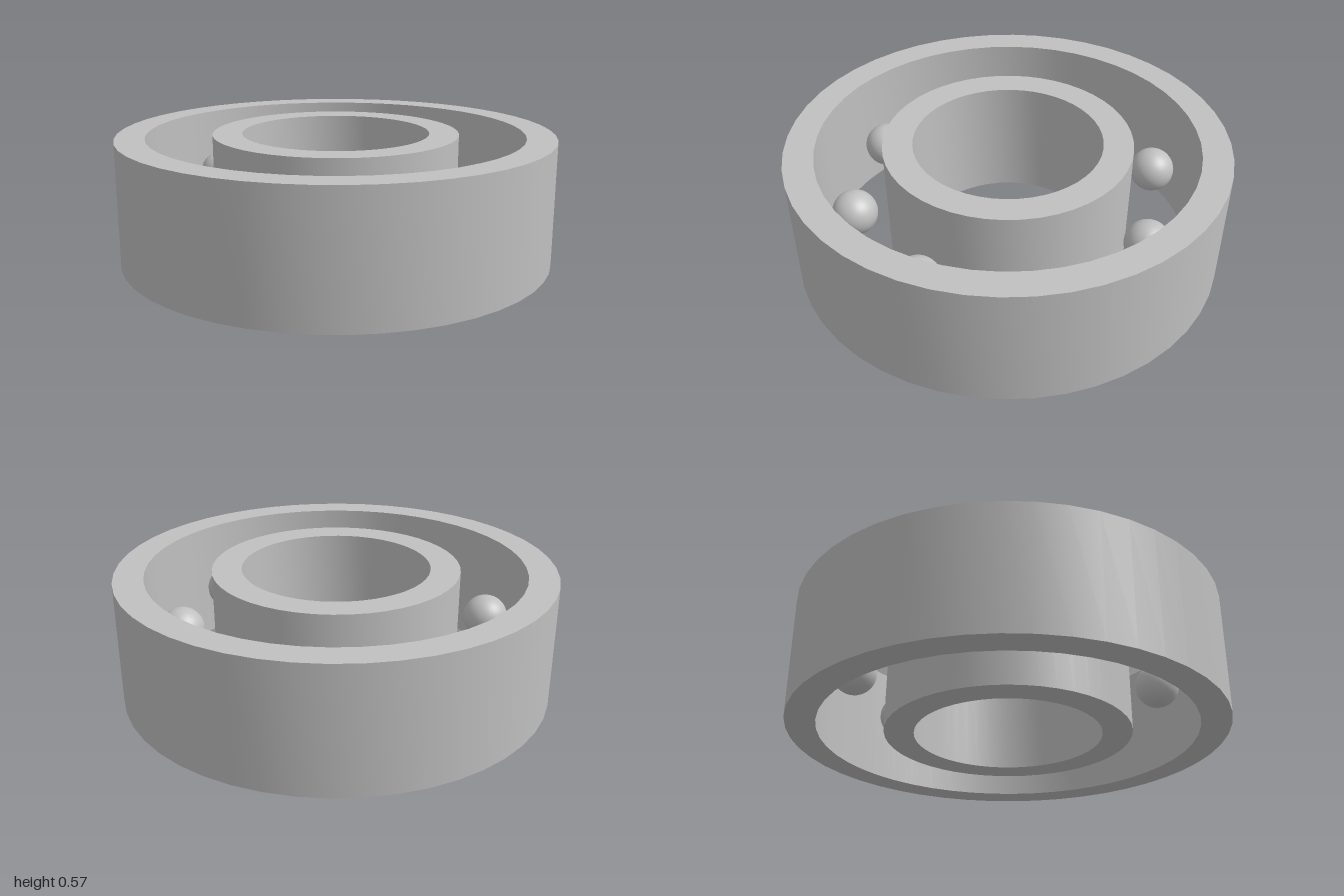
import * as THREE from 'three';
import { toCreasedNormals } from 'three/addons/utils/BufferGeometryUtils.js';

const HEIGHT = 0.57;
const BALL_COUNT = 8;
const BALL_ORBIT = 0.715;
const BALL_RADIUS = 0.104;

// Ring with a rectangular section, smooth walls and sharp rims
function makeRing(name, inner, outer, material) {
  const profile = [
    [outer, 0], [outer, HEIGHT], [inner, HEIGHT], [inner, 0], [outer, 0],
  ].map(([r, y]) => new THREE.Vector2(r, y));
  const geometry = toCreasedNormals(new THREE.LatheGeometry(profile, 48), 0.6);
  const ring = new THREE.Mesh(geometry, material);
  ring.name = name;
  return ring;
}

export function createModel() {
  const model = new THREE.Group();
  model.name = 'ballBearing';
  const steel = new THREE.MeshStandardMaterial({ color: 0xc0c0c0 });
  steel.name = 'steel grey';

  // Outer and inner races
  model.add(makeRing('outerRace', 0.865, 1, steel));
  model.add(makeRing('innerRace', 0.43, 0.565, steel));

  // Balls evenly spaced at mid height between the races
  const balls = new THREE.Group();
  balls.name = 'balls';
  const ballGeometry = new THREE.SphereGeometry(BALL_RADIUS, 32, 20);
  for (let i = 0; i < BALL_COUNT; i++) {
    const angle = (i / BALL_COUNT) * Math.PI * 2;
    const ball = new THREE.Mesh(ballGeometry, steel);
    ball.name = `ball${i + 1}`;
    ball.position.set(Math.cos(angle) * BALL_ORBIT, HEIGHT / 2, Math.sin(angle) * BALL_ORBIT);
    balls.add(ball);
  }
  model.add(balls);
  return model;
}
